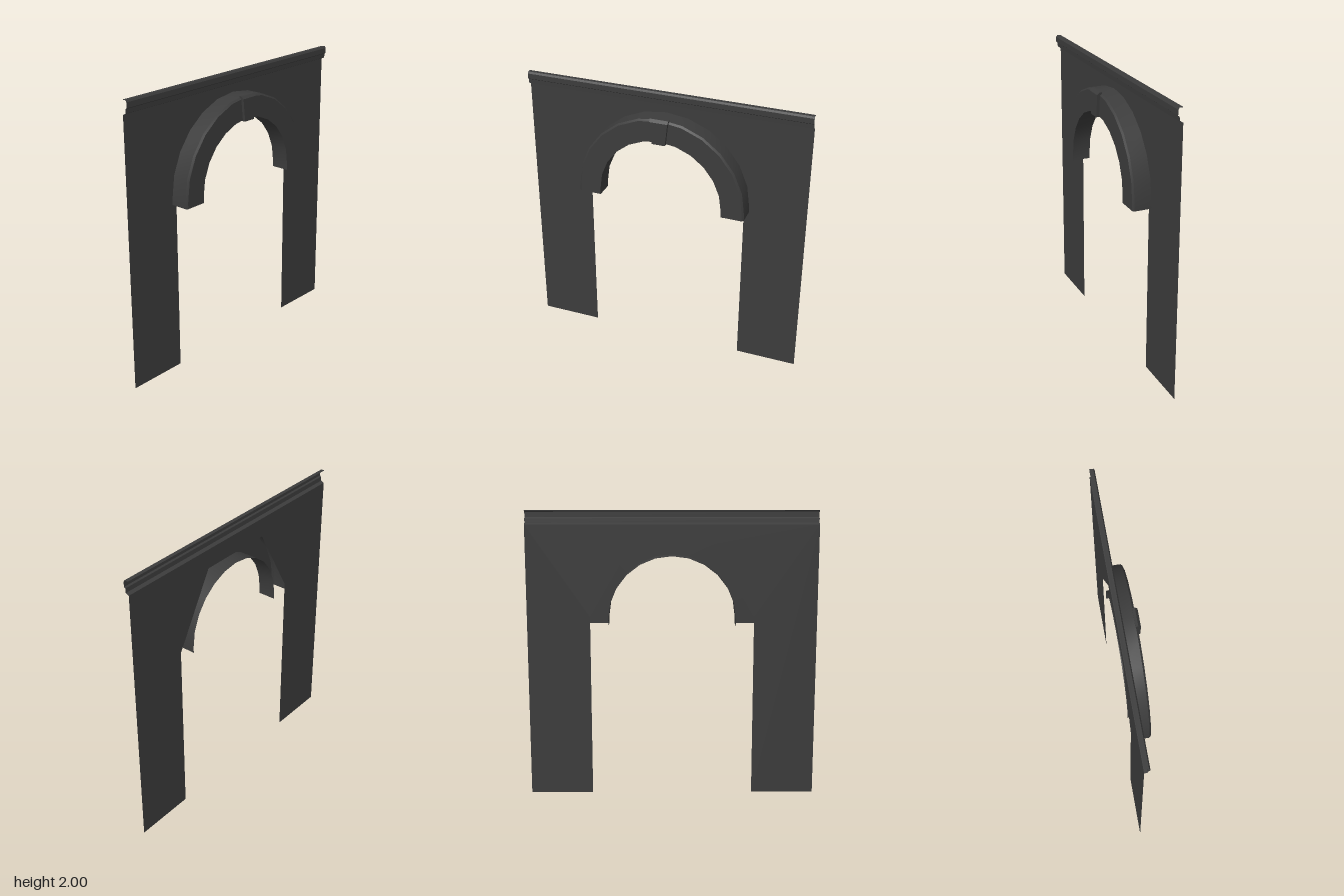
import * as THREE from 'three';
import { toCreasedNormals } from 'three/addons/utils/BufferGeometryUtils.js';

const BACK = -0.075; // x of the wall plane

// Skin between successive cross-sections (arrays of [x, y, z])
function loft(sections, crease) {
  const n = sections[0].length;
  const index = [];
  for (let i = 0; i < sections.length - 1; i++) {
    for (let j = 0; j < n - 1; j++) {
      const a = i * n + j, b = a + n;
      index.push(a, b, a + 1, b, b + 1, a + 1);
    }
  }
  const geometry = new THREE.BufferGeometry();
  geometry.setAttribute('position', new THREE.Float32BufferAttribute(sections.flat(2), 3));
  geometry.setIndex(index);
  return toCreasedNormals(geometry, crease);
}

export function createModel() {
  const group = new THREE.Group();
  const stone = new THREE.MeshStandardMaterial({ color: 0x3c3c3c, side: THREE.DoubleSide });
  stone.name = 'dark grey stone';

  const add = (name, geometry) => {
    const mesh = new THREE.Mesh(geometry, stone);
    mesh.name = name;
    group.add(mesh);
    return mesh;
  };

  // Flat wall sheet with a coarse opening hidden behind the arch
  const outline = [
    [-1, 0], [-0.565, 0], [-0.565, 1.27], [-0.28, 1.77], [0.28, 1.77],
    [0.565, 1.27], [0.565, 0], [1, 0], [1, 1.905], [-1, 1.905],
  ].map(([x, y]) => new THREE.Vector2(x, y));
  const wall = add('wall', new THREE.ShapeGeometry(new THREE.Shape(outline)));
  wall.rotation.y = Math.PI / 2;
  wall.position.x = BACK;

  // Cornice moulding along the top, open at both ends
  const moulding = [
    [BACK, 1.905], [-0.052, 1.915], [-0.05, 1.945], [-0.04, 1.952],
    [-0.04, 1.988], [-0.048, 2], [BACK, 2],
  ];
  add('cornice', loft([1, -1].map((z) => moulding.map(([x, y]) => [x, y, z])), 0.5));

  // Hollow arch band, open at the back and at its feet
  const band = [
    [0.44, BACK], [0.44, 0.055], [0.588, 0.055], [0.6, 0.043], [0.6, BACK],
  ]; // radius, x
  const springY = 1.25, footY = 1.205, segments = 12;
  const sections = [band.map(([r, x]) => [x, footY, r])];
  for (let i = 0; i <= segments; i++) {
    const t = (i / segments) * Math.PI;
    sections.push(band.map(([r, x]) => [x, springY + r * Math.sin(t), r * Math.cos(t)]));
  }
  sections.push(band.map(([r, x]) => [x, footY, -r]));
  add('archBand', loft(sections, 0.6));

  // Keystone: chamfered side profile, tapered towards the bottom
  const side = [[0.04, 1.678], [0.075, 1.678], [0.075, 1.835], [0.058, 1.853], [0.04, 1.853]]
    .map(([x, y]) => new THREE.Vector2(x, y));
  const key = new THREE.ExtrudeGeometry(new THREE.Shape(side), { depth: 2, bevelEnabled: false });
  key.translate(0, 0, -1);
  const p = key.attributes.position;
  for (let i = 0; i < p.count; i++) {
    const t = (p.getY(i) - 1.678) / 0.175;
    p.setZ(i, p.getZ(i) * THREE.MathUtils.lerp(0.046, 0.065, t));
  }
  key.computeVertexNormals();
  add('keystone', key);

  return group;
}
